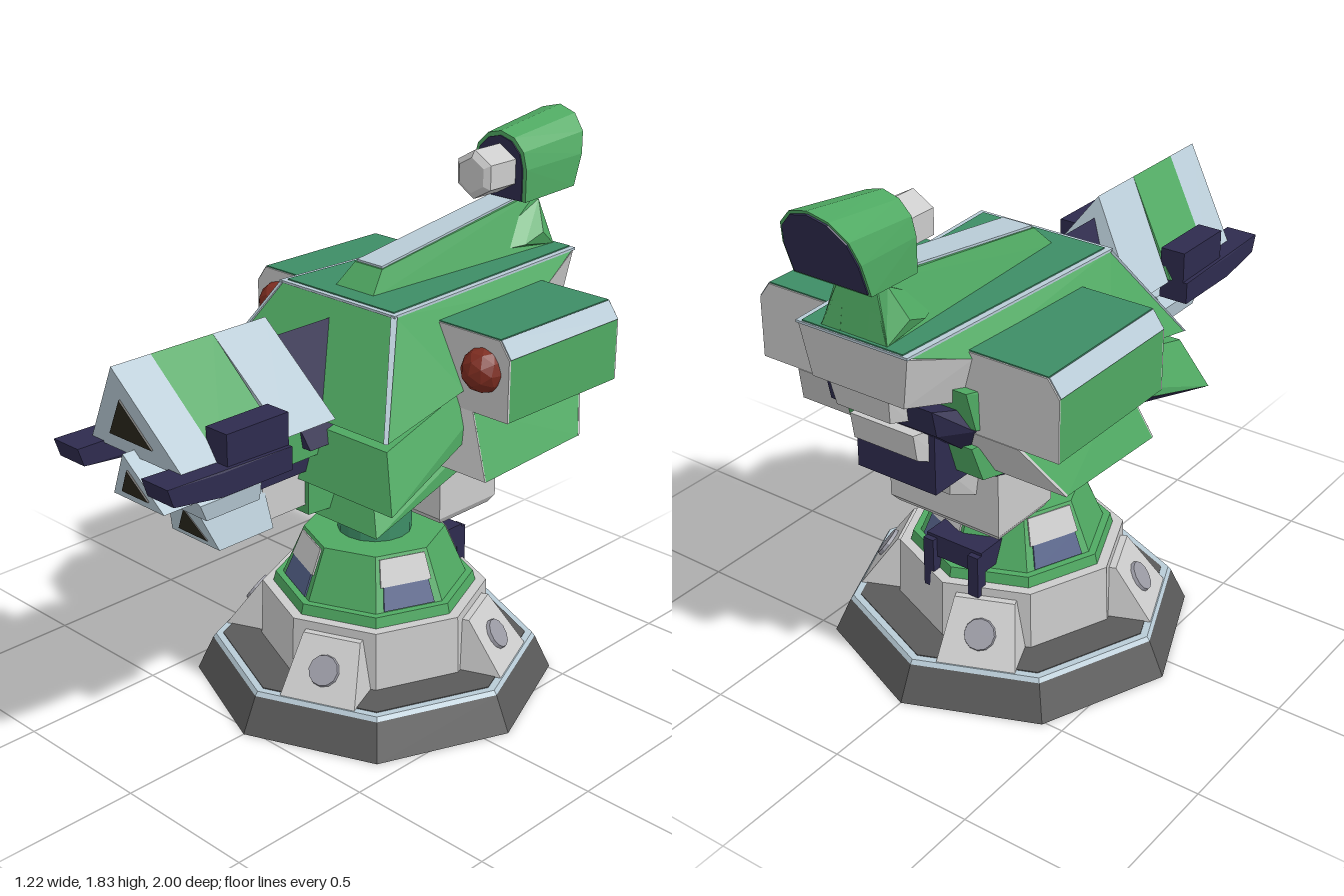
import * as THREE from 'three';
import { ConvexGeometry } from 'three/addons/geometries/ConvexGeometry.js';

const COLORS = {
  green: 0x4fa962, teal: 0x3d8d66, trim: 0xb8cbd6, white: 0xcbcbcb, gray: 0x5a5a5a,
  navy: 0x2e2b4e, red: 0x7d2c20, dark: 0x2a271c, slate: 0x55628a, button: 0x9a9aa4,
};

export function createModel() {
  const mats = {};
  for (const [name, color] of Object.entries(COLORS)) {
    mats[name] = new THREE.MeshStandardMaterial({ color, flatShading: true });
    mats[name].name = name;
  }
  const model = new THREE.Group();
  const base = new THREE.Group();
  base.name = 'base';
  base.position.z = -0.08;
  const turret = new THREE.Group();
  turret.name = 'turret';
  turret.position.x = -0.012;
  model.add(base, turret);

  // Helpers
  const add = (parent, name, mat, geo) => {
    const mesh = new THREE.Mesh(geo, mats[mat]);
    mesh.name = name;
    parent.add(mesh);
    return mesh;
  };
  const sym = (pts) => pts.flatMap(([x, y, z]) => (x ? [[x, y, z], [-x, y, z]] : [[x, y, z]]));
  const hull = (parent, name, mat, pts) =>
    add(parent, name, mat, new ConvexGeometry(pts.map((p) => new THREE.Vector3(...p))));
  const symHull = (name, mat, pts) => hull(turret, name, mat, sym(pts));
  const plate = (parent, name, mat, pts, t = 0.004) => {
    const v = pts.map((p) => new THREE.Vector3(...p));
    const n = new THREE.Vector3().crossVectors(v[1].clone().sub(v[0]), v[2].clone().sub(v[0])).setLength(t);
    return add(parent, name, mat, new ConvexGeometry(v.flatMap((p) => [p.clone().add(n), p.clone().sub(n)])));
  };
  const pair = (name, mat, pts) => [1, -1].forEach((s) =>
    hull(turret, name, mat, pts.map(([x, y, z]) => [x * s, y, z])));
  const boxPts = (x0, x1, y0, y1, z0, z1) =>
    [x0, x1].flatMap((x) => [y0, y1].flatMap((y) => [[x, y, z0], [x, y, z1]]));
  const ring = (name, mat, rTop, rBottom, y0, y1, n = 8) =>
    add(base, name, mat, new THREE.CylinderGeometry(rTop, rBottom, y1 - y0, n).translate(0, (y0 + y1) / 2, 0));

  // Octagonal pedestal
  ring('foot', 'gray', 0.555, 0.61, 0, 0.12);
  ring('footTrim', 'trim', 0.545, 0.555, 0.12, 0.134);
  ring('footTop', 'gray', 0.52, 0.52, 0.13, 0.137);
  ring('drum', 'white', 0.38, 0.388, 0.13, 0.34);
  ring('collarRim', 'green', 0.335, 0.345, 0.335, 0.375);
  ring('collar', 'green', 0.237, 0.312, 0.37, 0.545);
  ring('neck', 'teal', 0.125, 0.125, 0.54, 0.78, 16);

  // Sloped pads with round buttons, and recessed panels between them
  const apothem = (y) => 0.29 - 0.394 * (y - 0.37);
  for (let i = 0; i < 4; i++) {
    const pad = new THREE.Group();
    pad.name = 'pad';
    pad.rotation.y = Math.PI / 8 + (i * Math.PI) / 2;
    hull(pad, 'padBody', 'white', sym([[0.1, 0.31, 0.3], [0.1, 0.31, 0.375], [0.13, 0.135, 0.3], [0.13, 0.135, 0.5]]));
    const button = add(pad, 'padButton', 'button', new THREE.CylinderGeometry(0.05, 0.055, 0.02, 12));
    button.position.set(0, 0.222, 0.44);
    button.rotation.x = 0.95;
    base.add(pad);

    const panel = new THREE.Group();
    panel.name = 'collarPanel';
    panel.rotation.y = -Math.PI / 8 + (i * Math.PI) / 2;
    const band = (name, mat, y0, y1) => plate(panel, name, mat, [[-0.09, y0, apothem(y0)],
      [0.09, y0, apothem(y0)], [0.08, y1, apothem(y1)], [-0.08, y1, apothem(y1)]]);
    band('panelTop', 'white', 0.45, 0.535);
    band('panelBottom', 'slate', 0.378, 0.45);
    base.add(panel);
  }

  // Rear bracket on the pedestal
  hull(base, 'rearBracket', 'navy', boxPts(-0.12, 0.1, 0.39, 0.47, -0.33, -0.19));
  for (const x of [-0.12, 0.06]) hull(base, 'bracketLeg', 'navy', boxPts(x, x + 0.04, 0.28, 0.46, -0.35, -0.31));

  // Lower hull with its keel
  symHull('lowerHull', 'green', [[0.32, 0.708, 0.23], [0.24, 0.86, 0.17], [0.25, 0.88, -0.58], [0.24, 1.0, -0.62]]);
  symHull('keel', 'navy', [[0.31, 0.706, 0.222], [0.15, 0.65, 0.03], [0.15, 0.65, -0.16], [0.23, 0.87, -0.55]]);
  for (const [z, dy] of [[0.09, 0], [-0.055, 0.012]]) {
    pair('vent', 'dark', [[0.295, 0.78 + dy, z + 0.04], [0.292, 0.78 + dy, z], [0.265, 0.85 + dy, z + 0.01],
      [0.262, 0.85 + dy, z - 0.03], [0.27, 0.78 + dy, z + 0.02], [0.24, 0.85 + dy, z - 0.01]]);
  }

  // Middle skirt with dark underside
  symHull('middleSkirt', 'green', [[0.4, 1.04, 0.27], [0.27, 1.22, -0.68], [0.48, 0.87, 0.33], [0.28, 1.09, -0.65]]);
  symHull('skirtUnderside', 'navy', [[0.475, 0.868, 0.325], [0.36, 0.835, 0.24], [0.24, 0.82, 0.1],
    [0.27, 1.08, -0.64], [0.2, 0.99, -0.62], [0.2, 1.17, -0.75], [0.2, 1.08, -0.73]]);

  // Upper shell, edge trim and roof
  symHull('upperShell', 'green', [[0.25, 1.385, 0.08], [0.2, 1.385, -0.85], [0.41, 1.07, 0.28],
    [0.38, 1.13, -0.1], [0.26, 1.31, -0.63]]);
  const flat = (name, mat, w0, w1, z0, z1, y) =>
    plate(turret, name, mat, [[-w0, y, z0], [w0, y, z0], [w1, y, z1], [-w1, y, z1]]);
  flat('roofTrim', 'trim', 0.255, 0.205, 0.087, -0.855, 1.385);
  flat('roof', 'teal', 0.235, 0.185, 0.07, -0.85, 1.389);
  pair('cornerTrim', 'trim', [[0.24, 1.386, 0.088], [0.258, 1.386, 0.078], [0.25, 1.37, 0.075],
    [0.402, 1.072, 0.287], [0.415, 1.072, 0.28], [0.4, 1.07, 0.27]]);

  // Roof ridge and sensor bracket
  symHull('ridge', 'green', [[0.085, 1.385, 0.01], [0.125, 1.385, -0.84], [0.06, 1.46, -0.06], [0.06, 1.565, -0.81]]);
  plate(turret, 'ridgePlate', 'trim', [[-0.055, 1.464, -0.065], [0.055, 1.464, -0.065], [0.05, 1.567, -0.8], [-0.05, 1.567, -0.8]]);
  pair('sensorBracket', 'green', [[0.05, 1.4, -0.52], [0.13, 1.42, -0.68], [0.14, 1.45, -0.76], [0.09, 1.55, -0.79],
    [0.05, 1.56, -0.81], [0.12, 1.39, -0.84], [0.05, 1.39, -0.84]]);

  // Arched sensor head
  const arch = (w, y0, y1, z0, z1) => {
    const pts = [[-w, y0, z0], [w, y0, z0]];
    const spring = Math.max(y0 + 0.02, y1 - w);
    for (let i = 0; i <= 6; i++) {
      const a = (i * Math.PI) / 6;
      const y = spring + (y1 - spring) * Math.sin(a);
      pts.push([w * Math.cos(a), y, z0 + ((z1 - z0) * (y - y0)) / (y1 - y0)]);
    }
    return pts;
  };
  hull(turret, 'sensorHood', 'green', [...arch(0.115, 1.56, 1.785, -0.69, -0.69), ...arch(0.14, 1.58, 1.825, -0.915, -1)]);
  plate(turret, 'sensorFront', 'navy', arch(0.1, 1.562, 1.77, -0.689, -0.689));
  plate(turret, 'sensorBack', 'navy', arch(0.132, 1.588, 1.815, -0.918, -0.998));
  add(turret, 'sensorLens', 'white', new THREE.CylinderGeometry(0.083, 0.083, 0.13, 6).rotateX(Math.PI / 2).translate(0, 1.66, -0.625));
  add(turret, 'lensTip', 'white', new THREE.CylinderGeometry(0.06, 0.083, 0.015, 6).rotateX(Math.PI / 2).translate(0, 1.66, -0.5525));

  // Side pods with bevels, end plates and lamps
  const podEnd = (z) => [[0.2, 1.07, z], [0.56, 1.07, z], [0.56, 1.275, z], [0.52, 1.33, z], [0.2, 1.33, z]];
  const finEnd = (zt, zb, yb) => [[0.2, 1.07, zt], [0.42, 1.07, zt], [0.512, yb, zb], [0.25, yb, zb]];
  pair('pod', 'green', [...podEnd(-0.1), ...podEnd(-0.63)]);
  pair('podFin', 'green', [...finEnd(-0.1, -0.06, 0.87), ...finEnd(-0.63, -0.52, 0.89)]);
  for (const s of [1, -1]) {
    const flip = (pts) => pts.map(([x, y, z]) => [x * s, y, z]);
    plate(turret, 'podFront', 'white', flip(podEnd(-0.099)));
    plate(turret, 'podBack', 'white', flip(podEnd(-0.631)));
    plate(turret, 'finFront', 'white', flip(finEnd(-0.099, -0.059, 0.87)));
    plate(turret, 'finBack', 'white', flip(finEnd(-0.631, -0.521, 0.89)));
    plate(turret, 'podTop', 'teal', flip([[0.2, 1.33, -0.1], [0.52, 1.33, -0.1], [0.52, 1.33, -0.63], [0.2, 1.33, -0.63]]));
    plate(turret, 'podBevel', 'trim', flip([[0.56, 1.275, -0.1], [0.52, 1.33, -0.1], [0.52, 1.33, -0.63], [0.56, 1.275, -0.63]]));
    add(turret, 'lamp', 'red', new THREE.IcosahedronGeometry(0.074, 1).translate(0.457 * s, 1.22, -0.1));
  }

  // Triangular barrels: a prism per colour band, with an inset bore
  const prism = (name, mat, zf, zr, ay, by, w, slant) => symHull(name, mat,
    [zf, zr].flatMap((z) => [[0, ay, z], [w, by, z - slant]]));
  const bore = (zf, ay, by, w, slant, k) => {
    const c = (ay + 2 * by) / 3;
    const at = (x, y) => [x, c + k * (y - c), zf + 0.002 - (slant * (ay - c - k * (y - c))) / (ay - by)];
    plate(turret, 'bore', 'dark', [at(-w * k, by), at(w * k, by), at(0, ay)]);
  };
  prism('barrelMount', 'navy', 0.42, 0.1, 1.33, 1.0, 0.165, 0.06);
  prism('barrelMuzzle', 'trim', 0.975, 0.83, 1.4, 1.1, 0.208, 0.075);
  prism('barrelBand', 'green', 0.83, 0.595, 1.4, 1.1, 0.208, 0.075);
  prism('barrelRear', 'trim', 0.595, 0.385, 1.4, 1.1, 0.208, 0.09);
  bore(0.975, 1.4, 1.1, 0.208, 0.075, 0.46);
  symHull('barrelTray', 'green', boxPts(0, 0.13, 0.96, 1.105, 0.25, 0.52));
  prism('middleBarrel', 'trim', 0.95, 0.5, 1.125, 0.95, 0.115, 0.05);
  bore(0.95, 1.125, 0.95, 0.115, 0.05, 0.52);
  symHull('middleBarrelSleeve', 'trim', [[0.13, 1.0, 0.82], [0.16, 0.96, 0.8], [0.15, 0.9, 0.77],
    [0.13, 1.0, 0.56], [0.16, 0.96, 0.56], [0.15, 0.9, 0.56]]);
  symHull('lowerBarrel', 'trim', [[0.06, 0.915, 0.745], [0.11, 0.76, 0.69], [0.06, 0.915, 0.47], [0.11, 0.76, 0.47]]);
  bore(0.745, 0.925, 0.758, 0.115, 0.058, 0.58);
  symHull('lowerBarrelPipe', 'white', boxPts(0, 0.075, 0.77, 0.885, 0.28, 0.48));
  symHull('lowerBarrelBlock', 'green', [[0.09, 0.74, 0.3], [0.09, 0.87, 0.3], [0.11, 0.74, 0.15], [0.11, 0.87, 0.15]]);
  symHull('barrelCradle', 'navy', boxPts(0, 0.1, 0.9, 1.0, 0.25, 0.56));

  // Dark side rails beside the barrel
  pair('sideRail', 'navy', [...boxPts(0.16, 0.265, 1.025, 1.1, 0.53, 0.8), [0.145, 1.11, 1], [0.26, 1.11, 1],
    [0.145, 1.05, 0.98], [0.26, 1.05, 0.98]]);
  pair('railBlock', 'navy', [...boxPts(0.16, 0.25, 1.09, 1.205, 0.53, 0.77)]);

  // Stepped rear armour
  symHull('tailPlate', 'white', [[0.2, 1.38, -0.85], [0.26, 1.31, -0.63], [0.17, 1.21, -0.835], [0.22, 1.16, -0.63]]);
  symHull('tailStep', 'white', [[0.11, 1.21, -0.83], [0.1, 1.13, -0.815], [0.11, 1.2, -0.6], [0.1, 1.1, -0.73]]);
  symHull('rearCore', 'navy', boxPts(0, 0.15, 0.84, 1.15, -0.68, -0.4));
  symHull('rearStep', 'white', [[0.12, 1.06, -0.74], [0.12, 0.97, -0.725], [0.14, 1.04, -0.58], [0.14, 0.91, -0.6]]);
  symHull('rearWedge', 'white', [[0.15, 0.88, -0.61], [0.13, 0.79, -0.59], [0.13, 0.725, -0.46], [0.15, 0.87, -0.44]]);
  symHull('counterweight', 'white', [[0.215, 0.84, -0.18], [0.215, 0.85, -0.46], [0.215, 0.6, -0.18], [0.2, 0.575, -0.2],
    [0.215, 0.6, -0.46], [0.2, 0.575, -0.44]]);

  return model;
}
